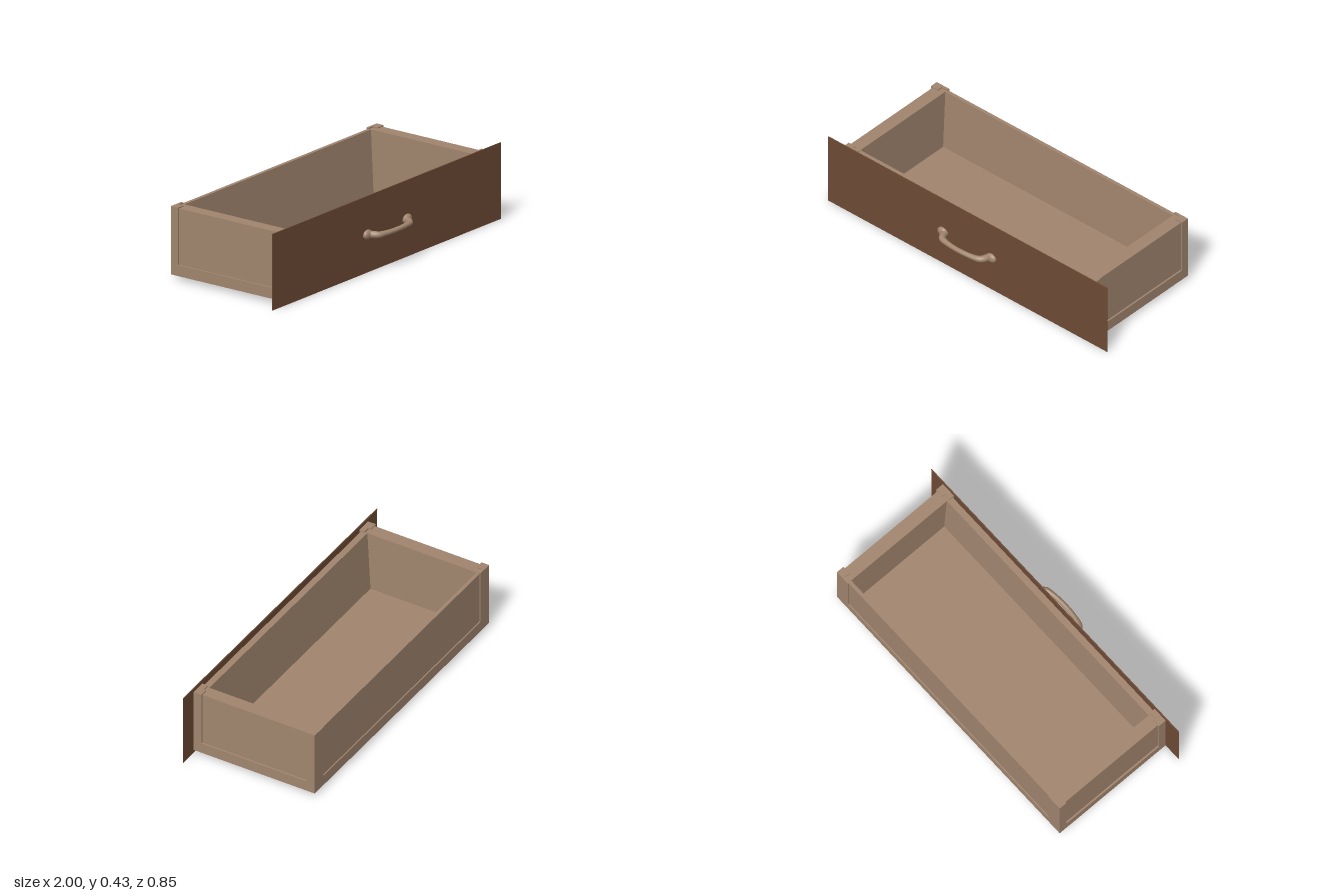
import * as THREE from 'three';

const bodyWood = new THREE.MeshStandardMaterial({ color: 0xa1856e });
bodyWood.name = 'light wood';
const frontWood = new THREE.MeshStandardMaterial({ color: 0x6d4a34, side: THREE.DoubleSide });
frontWood.name = 'dark wood';

const W = 0.9, ZB = -0.425, ZF = 0.333;          // outer limits of the box
const Y0 = 0.025, RAIL = 0.087, POST = 0.41, WALL = 0.403;

function polygon(points) {
  return new THREE.Shape(points.map(([x, y]) => new THREE.Vector2(x, y)));
}

function extrude(shape, depth) {
  const g = new THREE.ExtrudeGeometry(shape, { depth, bevelEnabled: false });
  return g.translate(0, 0, -depth / 2);
}

// U-shaped frame: two posts joined by a bottom rail
function uFrame(a0, a1, in0, in1, depth) {
  return extrude(polygon([[a0, Y0], [a1, Y0], [a1, POST], [in1, POST],
    [in1, RAIL], [in0, RAIL], [in0, POST], [a0, POST]]), depth);
}

function rectangle(Type, x0, x1, y0, y1) {
  const p = new Type();
  p.moveTo(x0, y0);
  p.lineTo(x1, y0);
  p.lineTo(x1, y1);
  p.lineTo(x0, y1);
  p.closePath();
  return p;
}

export function createModel() {
  const group = new THREE.Group();
  const add = (name, geometry, material = bodyWood, x = 0, y = 0, z = 0) => {
    const mesh = new THREE.Mesh(geometry, material);
    mesh.name = name;
    mesh.position.set(x, y, z);
    group.add(mesh);
    return mesh;
  };

  // side frames and recessed side panels
  for (const s of [1, -1]) {
    const side = s > 0 ? 'left' : 'right';
    add(side + 'Frame', uFrame(ZB, ZF, -0.378, 0.285, 0.05).rotateY(-Math.PI / 2), bodyWood, s * 0.875);
    add(side + 'Panel', new THREE.BoxGeometry(0.075, WALL - 0.03, 0.72), bodyWood,
      s * 0.8525, (WALL + 0.03) / 2, -0.05);
  }

  // front and back frames
  add('frontFrame', uFrame(-W, W, -0.81, 0.81, ZF - 0.3), bodyWood, 0, 0, (ZF + 0.3) / 2);
  add('backFrame', uFrame(-W, W, -0.81, 0.81, 0.015), bodyWood, 0, 0, ZB + 0.0075);

  // front and back panels, with inner faces leaning in toward the floor
  const across = (points) => extrude(polygon(points), 1.77).rotateY(-Math.PI / 2);
  add('backPanel', across([[-0.418, 0.03], [-0.38, 0.03], [-0.398, WALL], [-0.418, WALL]]));
  add('frontPanel', across([[0.266, 0.03], [0.323, 0.03], [0.323, WALL], [0.286, WALL]]));

  // bottom border and the slightly recessed floor
  const border = rectangle(THREE.Shape, -W, W, -ZF, -ZB);
  border.holes.push(rectangle(THREE.Path, -0.81, 0.81, -0.285, 0.378));
  add('bottomBorder', extrude(border, 0.012).rotateX(-Math.PI / 2), bodyWood, 0, Y0 + 0.006, 0);
  add('floor', new THREE.BoxGeometry(1.7, 0.01, 0.7), bodyWood, 0, 0.036, -0.05);

  // thin face board with a small lip along the top
  add('faceBoard', new THREE.BoxGeometry(2, 0.43, 0.002), frontWood, 0, 0.215, 0.339);
  add('faceBoardLip', new THREE.BoxGeometry(2, 0.002, 0.005), frontWood, 0, 0.429, 0.3365);

  // pull handle: a bent tube, thinner in the middle
  const path = new THREE.CatmullRomCurve3([
    [-0.158, 0.34], [-0.152, 0.365], [-0.135, 0.391], [-0.09, 0.404], [0, 0.411],
    [0.09, 0.404], [0.135, 0.391], [0.152, 0.365], [0.158, 0.34],
  ].map(([x, z]) => new THREE.Vector3(x, 0.214, z)));
  const rings = 48, sides = 16;
  const bar = new THREE.TubeGeometry(path, rings, 1, sides);
  const pos = bar.attributes.position, v = new THREE.Vector3();
  for (let i = 0; i <= rings; i++) {
    const centre = path.getPointAt(i / rings);
    const radius = 0.014 + 0.006 * Math.min(1, Math.pow(Math.abs(centre.x) / 0.15, 3));
    for (let j = 0; j <= sides; j++) {
      const k = i * (sides + 1) + j;
      v.fromBufferAttribute(pos, k).sub(centre).multiplyScalar(radius).add(centre);
      pos.setXYZ(k, v.x, v.y, v.z);
    }
  }
  bar.computeVertexNormals();
  add('handleBar', bar);

  // rounded bases of the handle
  for (const s of [1, -1]) {
    const base = add(s > 0 ? 'leftHandleBase' : 'rightHandleBase',
      new THREE.SphereGeometry(1, 20, 14), bodyWood, s * 0.174, 0.216, 0.345);
    base.scale.set(0.034, 0.027, 0.018);
  }

  return group;
}
